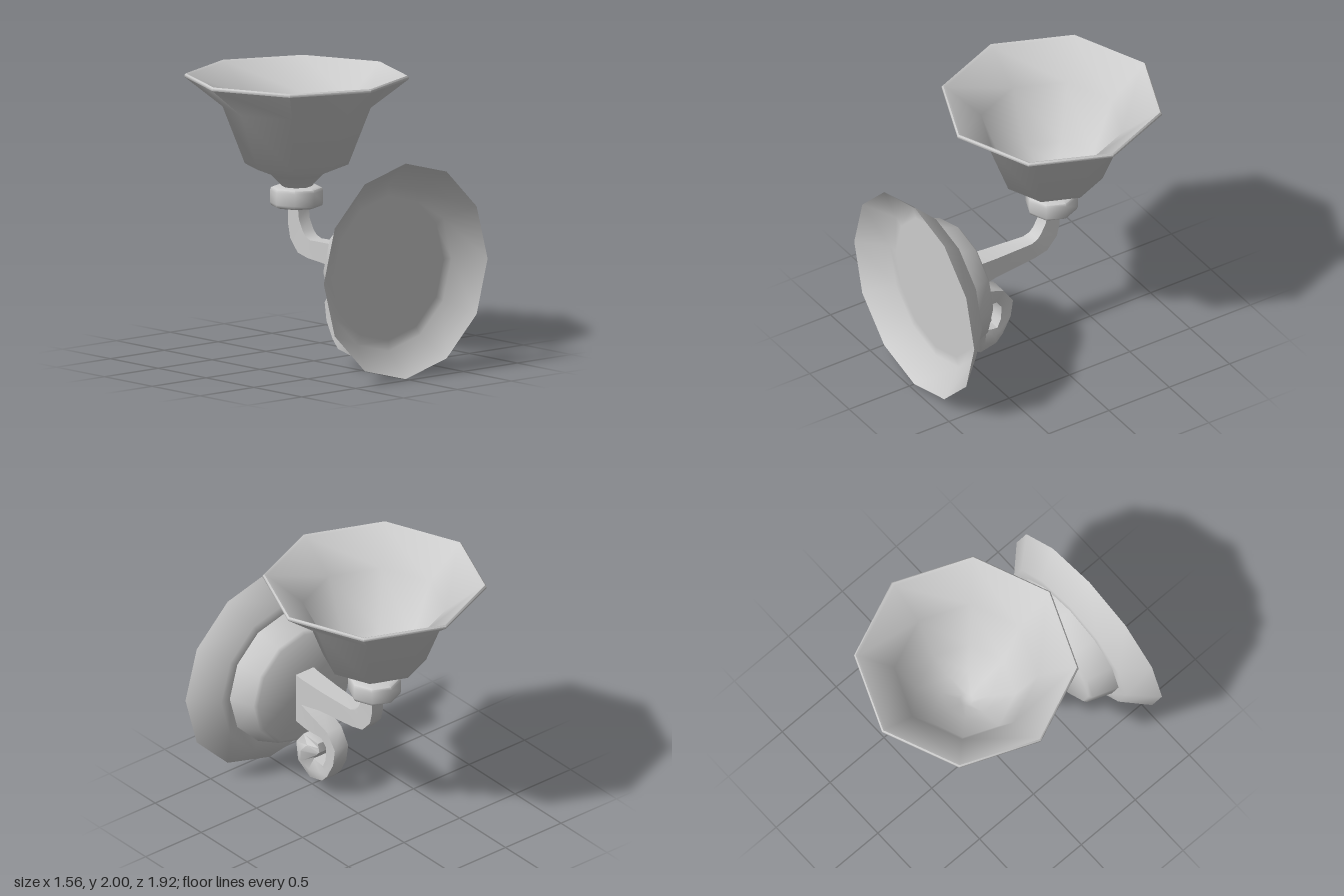
import * as THREE from 'three';
import { toCreasedNormals } from 'three/addons/utils/BufferGeometryUtils.js';

const material = new THREE.MeshStandardMaterial({ color: 0xcccccc });
const openMaterial = new THREE.MeshStandardMaterial({ color: 0xcccccc, side: THREE.DoubleSide });

// Faceted turned part from [radius, height] pairs
function turned(name, profile, sides, crease, mat = material) {
  const points = profile.map(([r, y]) => new THREE.Vector2(r, y));
  const mesh = new THREE.Mesh(toCreasedNormals(new THREE.LatheGeometry(points, sides), crease), mat);
  mesh.name = name;
  return mesh;
}

// Solid strip through stations [outer z, outer y, inner z, inner y, half width, side bulge]
function strip(name, stations) {
  const positions = [];
  const index = [];
  for (const [z1, y1, z2, y2, w, bulge = 0] of stations) {
    const zm = (z1 + z2) / 2, ym = (y1 + y2) / 2, m = w + bulge;
    positions.push(w, y1, z1, m, ym, zm, w, y2, z2, -w, y2, z2, -m, ym, zm, -w, y1, z1);
  }
  for (let i = 0; i < stations.length - 1; i++) {
    for (let j = 0; j < 6; j++) {
      const a = i * 6 + j, b = i * 6 + (j + 1) % 6;
      index.push(a, b, b + 6, a, b + 6, a + 6);
    }
  }
  const end = (stations.length - 1) * 6;
  for (let j = 1; j < 5; j++) {
    index.push(0, j + 1, j);
    index.push(end, end + j, end + j + 1);
  }
  const geometry = new THREE.BufferGeometry();
  geometry.setAttribute('position', new THREE.Float32BufferAttribute(positions, 3));
  geometry.setIndex(index);
  const mesh = new THREE.Mesh(toCreasedNormals(geometry, 0.9), material);
  mesh.name = name;
  return mesh;
}

export function createModel() {
  const model = new THREE.Group();
  model.name = 'wallLamp';

  // Wall plate: hollow flange with a solid boss
  const plate = new THREE.Group();
  plate.name = 'wallPlate';
  plate.add(
    turned('flange', [[0.76, 0], [0.585, 0.18], [0.51, 0.18]], 12, 1.0, openMaterial),
    turned('boss', [[0, 0.18], [0.51, 0.18], [0.445, 0.36], [0.42, 0.38], [0, 0.38]], 12, 0.7)
  );
  plate.rotation.x = -Math.PI / 2;
  plate.position.set(0, 0.765, 0.96);
  model.add(plate);

  // Arm reaching out and bending up to the collar
  model.add(strip('arm', [
    [0.59, 0.89, 0.59, 0.66, 0.08],
    [0.52, 0.88, 0.46, 0.685, 0.078],
    [0.32, 0.87, 0.33, 0.71, 0.07],
    [0.02, 0.865, 0.0, 0.735, 0.055],
    [-0.03, 0.885, -0.11, 0.76, 0.052],
    [-0.06, 0.92, -0.19, 0.85, 0.05],
    [-0.1, 0.995, -0.213, 0.95, 0.05],
    [-0.11, 1.08, -0.215, 1.08, 0.05]
  ]));

  // Scroll curling below the arm, ending in a swollen tip
  model.add(strip('scroll', [
    [0.59, 0.7, 0.59, 0.515, 0.08],
    [0.47, 0.65, 0.47, 0.495, 0.078],
    [0.26, 0.565, 0.32, 0.49, 0.065],
    [0.18, 0.45, 0.275, 0.43, 0.06],
    [0.2, 0.32, 0.28, 0.33, 0.06],
    [0.265, 0.2, 0.31, 0.265, 0.06],
    [0.32, 0.14, 0.35, 0.27, 0.06, 0.01],
    [0.45, 0.11, 0.41, 0.28, 0.06, 0.03],
    [0.58, 0.19, 0.4, 0.295, 0.06, 0.05],
    [0.6, 0.33, 0.38, 0.32, 0.06, 0.055],
    [0.52, 0.43, 0.36, 0.345, 0.06, 0.035],
    [0.37, 0.415, 0.355, 0.35, 0.055]
  ]));

  // Collar and flared shade share an upright axis
  const head = new THREE.Group();
  head.name = 'lampHead';
  head.position.z = -0.18;
  head.add(
    turned('collar', [
      [0, 1.07], [0.15, 1.07], [0.178, 1.08], [0.185, 1.1],
      [0.185, 1.185], [0.178, 1.205], [0.15, 1.215], [0, 1.215]
    ], 8, 1.0),
    turned('shade', [
      [0.09, 1.2], [0.185, 1.3], [0.36, 1.37], [0.515, 1.77], [0.78, 1.975],
      [0.78, 1.99], [0.77, 2], [0.75, 1.99],
      [0.5, 1.785], [0.342, 1.39], [0.17, 1.32], [0.045, 1.22], [0, 1.22]
    ], 8, 1.0)
  );
  model.add(head);

  return model;
}
